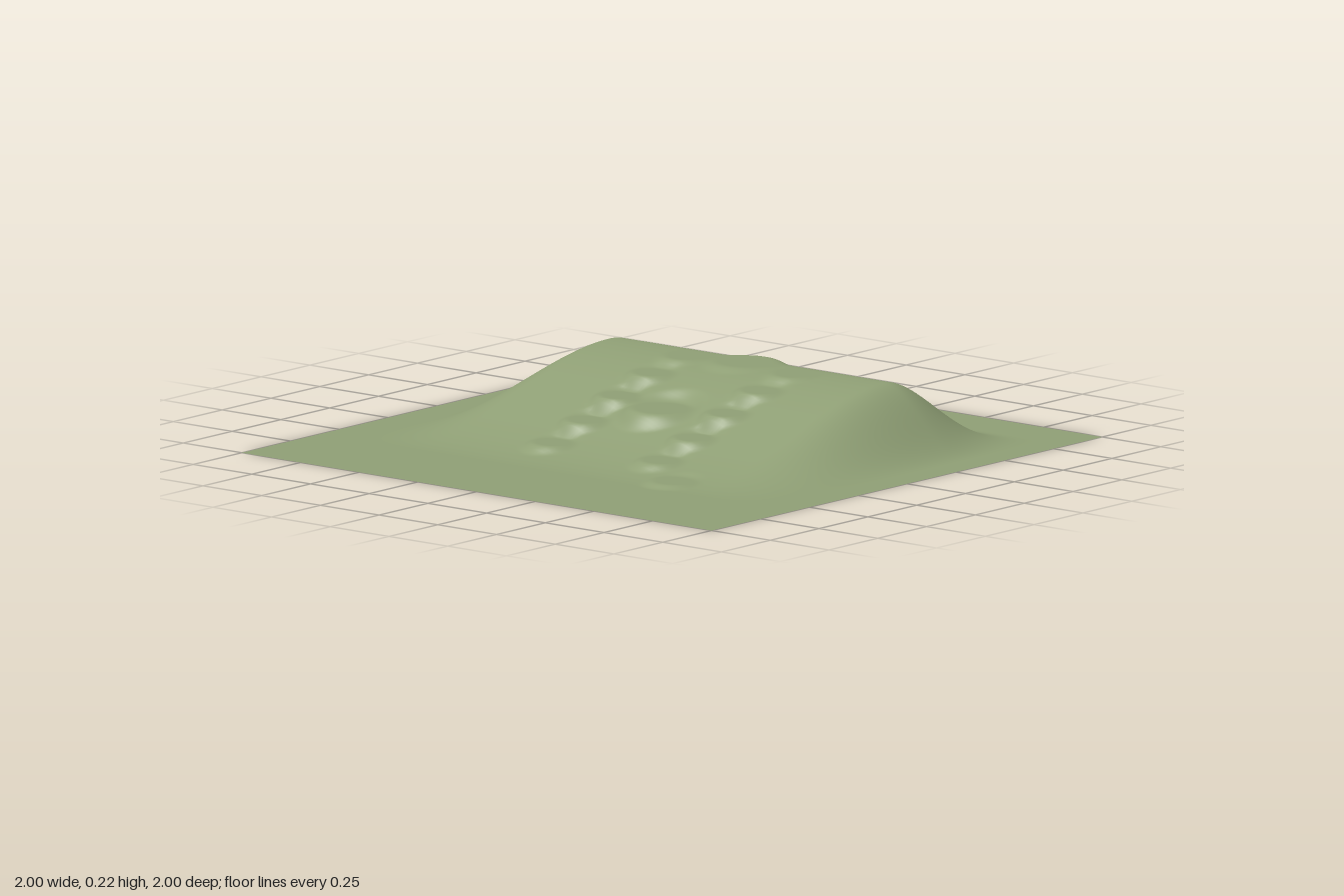
import * as THREE from 'three';

const { smoothstep, lerp } = THREE.MathUtils;
const PEAK = 0.22;

// Broad hill: long ramp at the front, ridge at z = -0.4, short slope behind, sloped sides
function hillHeight(x, z) {
  const along = z > -0.4 ? 1 - smoothstep(z, -0.4, 0.6) : smoothstep(z, -0.82, -0.4);
  const across = 1 - smoothstep(Math.abs(x), 0.57, 0.9);
  return PEAK * along * across;
}

// Level round terraces cut into the slope
const pads = [];
function addPad(x, z, inner, outer) {
  pads.push({ x, z, inner, outer, level: Math.min(PEAK, hillHeight(x, z) + 0.006) });
}
for (let i = 0; i < 5; i++) {
  const z = 0.36 - i * 0.17;
  addPad(-0.21, z, 0.065, 0.105);
  addPad(0.25, z, 0.065, 0.105);
}
addPad(0, 0.055, 0.095, 0.155);
addPad(0, -0.38, 0.095, 0.155);
addPad(0.42, 0.5, 0.065, 0.105);

function groundHeight(x, z) {
  let h = hillHeight(x, z);
  for (const p of pads) {
    const d = Math.hypot(x - p.x, z - p.z);
    if (d < p.outer) h = lerp(h, p.level, 1 - smoothstep(d, p.inner, p.outer));
  }
  return h;
}

export function createModel() {
  const group = new THREE.Group();
  group.name = 'terracedHill';

  const grass = new THREE.MeshStandardMaterial({ color: 0x8f9f75, side: THREE.DoubleSide });
  grass.name = 'grass green';

  // Ground sheet lifted by the height rule
  const geometry = new THREE.PlaneGeometry(2, 2, 180, 180).rotateX(-Math.PI / 2);
  const pos = geometry.attributes.position;
  for (let i = 0; i < pos.count; i++) {
    pos.setY(i, groundHeight(pos.getX(i), pos.getZ(i)));
  }
  geometry.computeVertexNormals();

  const ground = new THREE.Mesh(geometry, grass);
  ground.name = 'ground';
  group.add(ground);
  return group;
}
